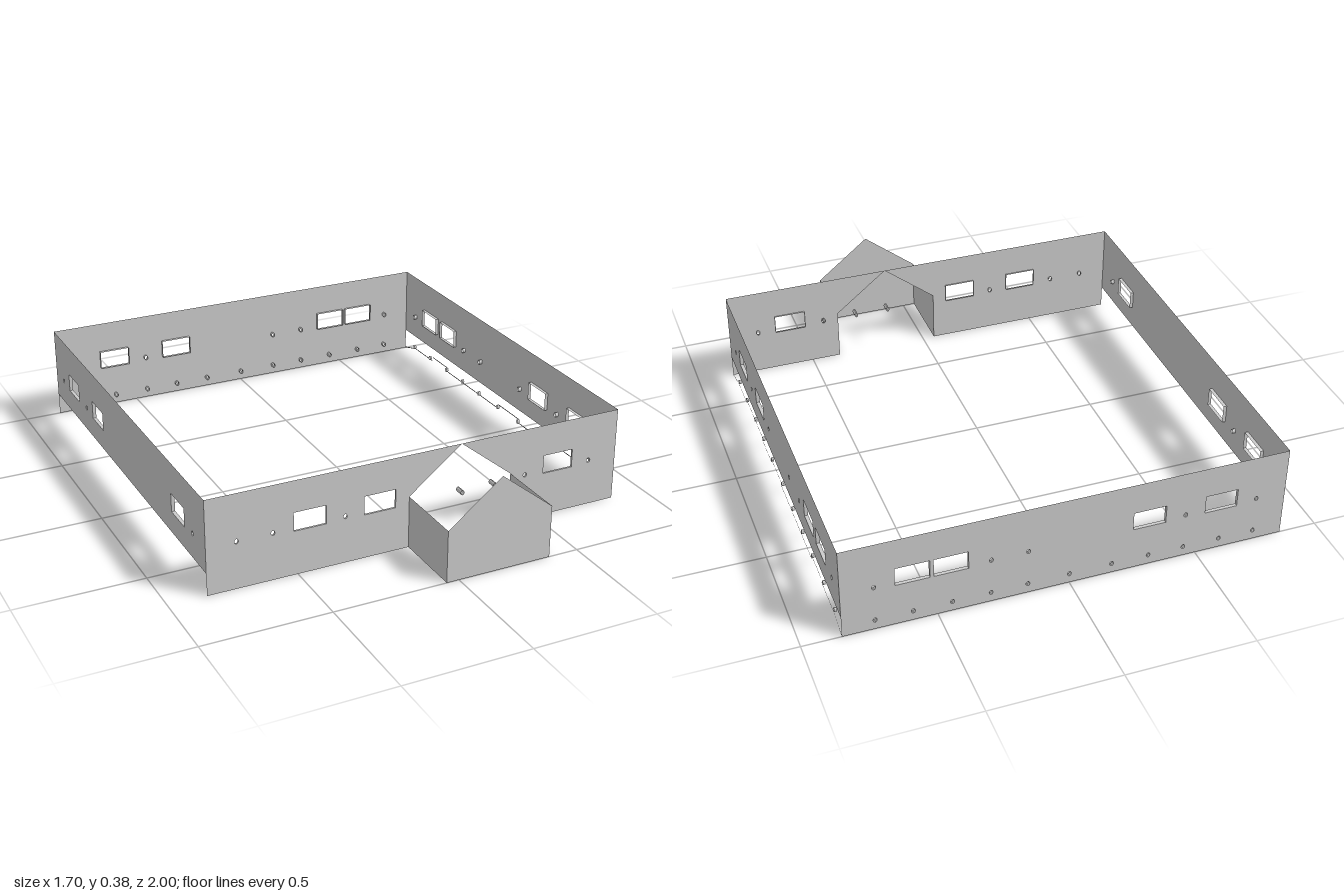
import * as THREE from 'three';

const material = new THREE.MeshStandardMaterial({ color: 0xcccccc, side: THREE.DoubleSide, flatShading: true });
const TOP = 0.38, EAVE = 0.21, WIN_Y = 0.215, HOLE_Y = 0.19, LOW_Y = 0.04;
const FRONT = 0.71, BACK = -1, SIDE = 0.852;
const PORCH = [-0.05, 0.165, 0.38];

function mesh(name, geometry) {
  const m = new THREE.Mesh(geometry, material);
  m.name = name;
  return m;
}

const toShape = (pts) => new THREE.Shape(pts.map(([x, y]) => new THREE.Vector2(x, y)));

// open tube lining a hole, reaching inwards from the wall plane
function liner(name, x, y, w, h, depth, sides) {
  const r = sides === 4 ? Math.SQRT1_2 : 0.5;
  const g = new THREE.CylinderGeometry(r, r, 1, sides, 1, true, Math.PI / 4);
  g.rotateX(Math.PI / 2);
  g.scale(w, h, depth);
  g.translate(x, y, -depth / 2);
  return mesh(name, g);
}

// thin wall sheet with window and vent openings, facing local +z
function wall(name, outline, { windows, vents, lowVents = [], depth = 0.014 }) {
  const group = new THREE.Group();
  group.name = name;
  const shape = toShape(outline);
  for (const x of windows) {
    const w = 0.128, h = 0.075;
    const l = x - w / 2, r = x + w / 2, b = WIN_Y - h / 2, t = WIN_Y + h / 2;
    shape.holes.push(new THREE.Path([[l, b], [l, t], [r, t], [r, b]].map((p) => new THREE.Vector2(...p))));
    group.add(liner('windowReveal', x, WIN_Y, w, h, depth, 4));
  }
  const round = [...vents.map((x) => [x, HOLE_Y]), ...lowVents.map((x) => [x, LOW_Y])];
  for (const [x, y] of round) {
    const path = new THREE.Path();
    path.absellipse(x, y, 0.0075, 0.01, 0, Math.PI * 2, true);
    shape.holes.push(path);
    group.add(liner('ventSleeve', x, y, 0.015, 0.02, depth, 12));
  }
  group.add(mesh('wallSheet', new THREE.ShapeGeometry(shape, 6)));
  return group;
}

const rect = (l, r, b, t) => [[l, b], [r, b], [r, t], [l, t]];
const negate = (list) => list.map((v) => -v);

export function createModel() {
  const model = new THREE.Group();
  const [pl, pc, pr] = PORCH;

  // front wall, split by a gabled opening that reaches its top edge
  const frontLeft = wall('frontWallRightPart',
    [[-SIDE, 0], [pl, 0], [pl, EAVE], [pc, TOP], [-SIDE, TOP]],
    { windows: [-0.45, -0.17], vents: [-0.735, -0.595, -0.31], depth: 0.008 });
  const frontRight = wall('frontWallLeftPart',
    [[pr, 0], [SIDE, 0], [SIDE, TOP], [pc, TOP], [pr, EAVE]],
    { windows: [0.59], vents: [0.445, 0.73], depth: 0.008 });
  for (const part of [frontLeft, frontRight]) {
    part.position.z = FRONT;
    model.add(part);
  }

  // back wall, with a low row of vents
  const back = wall('backWall', rect(-SIDE, SIDE, 0, TOP), {
    windows: negate([-0.592, -0.307, 0.448, 0.59]),
    vents: negate([-0.735, -0.45, 0.16, 0.3, 0.73]),
    lowVents: negate([-0.735, -0.595, -0.45, -0.31, -0.165, 0, 0.16, 0.3, 0.445, 0.59, 0.73]),
  });
  back.rotation.y = Math.PI;
  back.position.z = BACK;
  model.add(back);

  // side walls stop short of the ground
  const plusX = wall('leftWall', rect(-FRONT, -BACK, 0.09, TOP), {
    windows: negate([-0.757, -0.592, 0.163, 0.448]),
    vents: negate([-0.9, -0.45, -0.305, 0.02, 0.305, 0.59]),
  });
  plusX.rotation.y = Math.PI / 2;
  plusX.position.x = SIDE;
  const minusX = wall('rightWall', rect(BACK, FRONT, 0.09, TOP), {
    windows: [-0.757, -0.45, 0.445],
    vents: [-0.9, -0.595, 0.588],
  });
  minusX.rotation.y = -Math.PI / 2;
  minusX.position.x = -SIDE;
  model.add(plusX, minusX);

  // narrow stepped strip and vent sleeves under the left wall
  const lo = 0.032, hi = 0.05;
  const line = [[-FRONT, 0.004], [-0.59, lo], [-0.45, lo], [-0.45, hi], [-0.165, hi], [-0.165, lo],
    [-0.02, lo], [-0.02, hi], [0.145, hi], [0.145, lo], [0.59, lo], [0.59, hi], [0.735, hi],
    [0.735, lo], [0.9, lo], [-BACK, 0.004]];
  const under = line.map(([x, y]) => [x, y - 0.004]).reverse();
  plusX.add(mesh('steppedStrip', new THREE.ShapeGeometry(toShape([...line, ...under]))));
  for (const z of [-0.9, -0.75, -0.595, -0.45, -0.305, -0.145, 0.02, 0.165, 0.305, 0.45, 0.59]) {
    plusX.add(liner('lowVentSleeve', -z, LOW_Y, 0.012, 0.02, 0.01, 12));
  }

  // roofless porch: gabled front and two sides
  const porch = new THREE.Group();
  porch.name = 'porch';
  const gable = mesh('porchFront', new THREE.ShapeGeometry(
    toShape([[pl, 0], [pr, 0], [pr, EAVE], [pc, TOP], [pl, EAVE]])));
  gable.position.z = 1;
  porch.add(gable);
  for (const x of [pl, pr]) {
    const side = mesh('porchSide', new THREE.PlaneGeometry(1 - FRONT, EAVE));
    side.rotation.y = x === pl ? -Math.PI / 2 : Math.PI / 2;
    side.position.set(x, EAVE / 2, (1 + FRONT) / 2);
    porch.add(side);
  }
  // loose vent sleeves standing in the porch opening
  for (const x of [0.16, 0.3]) {
    const sleeve = liner('porchVentSleeve', x, HOLE_Y, 0.015, 0.02, 0.036, 12);
    sleeve.position.z = 0.736;
    porch.add(sleeve);
  }
  model.add(porch);
  return model;
}
